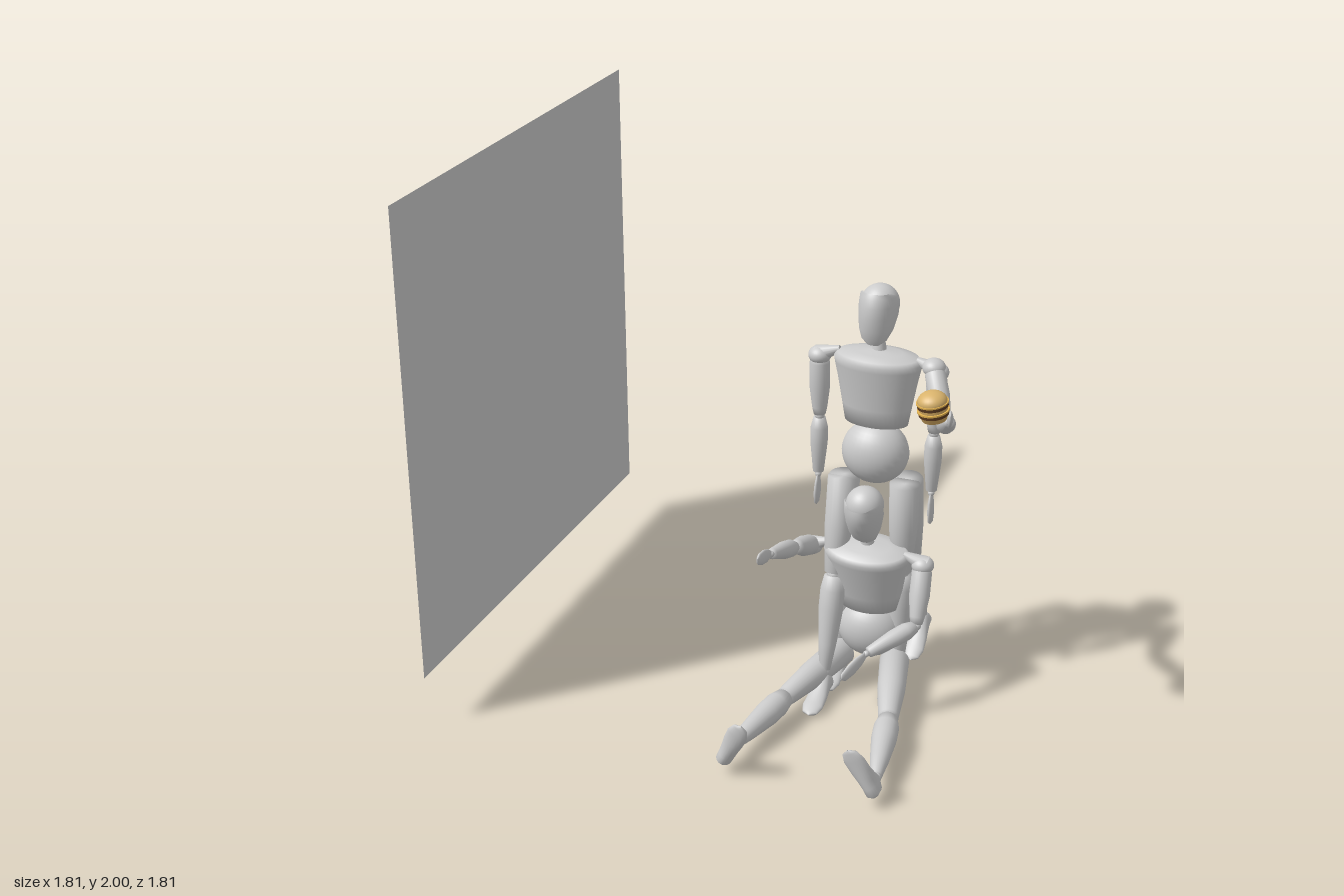
import * as THREE from 'three';

const V = (x, y, z) => new THREE.Vector3(x, y, z);
const grey = new THREE.MeshStandardMaterial({ color: 0xcccccc, side: THREE.DoubleSide });
const CX = 0.5; // both figures sit on this x

function add(parent, name, geometry, material = grey) {
  const mesh = new THREE.Mesh(geometry, material);
  mesh.name = name;
  parent.add(mesh);
  return mesh;
}

function group(parent, name) {
  const g = new THREE.Group();
  g.name = name;
  parent.add(g);
  return g;
}

// Smooth skin over a grid of points fn(row, u), u from 0 to 1
function skin(rows, cols, fn) {
  const pos = [], idx = [];
  for (let r = 0; r < rows; r++) for (let c = 0; c <= cols; c++) pos.push(...fn(r, c / cols));
  for (let r = 0; r < rows - 1; r++) for (let c = 0; c < cols; c++) {
    const a = r * (cols + 1) + c, b = a + cols + 1;
    idx.push(a, a + 1, b, b, a + 1, b + 1);
  }
  const g = new THREE.BufferGeometry();
  g.setAttribute('position', new THREE.Float32BufferAttribute(pos, 3));
  g.setIndex(idx);
  g.computeVertexNormals();
  return g;
}

// Profiles: [position along the limb, radius]
const UPPER_ARM = [[0, 0.001], [0, 0.028], [0.12, 0.037], [0.5, 0.038], [0.85, 0.028], [0.97, 0.022], [0.97, 0.001]];
const FOREARM = [[0.03, 0.001], [0.03, 0.022], [0.2, 0.032], [0.45, 0.032], [0.95, 0.02], [0.96, 0.001]];
const HAND = [[0, 0.001], [0.02, 0.012], [0.3, 0.024], [0.6, 0.027], [0.9, 0.02], [1, 0.001]];
const THIGH = [[0, 0.001], [0, 0.056], [0.5, 0.052], [0.97, 0.037], [0.98, 0.001]];
const SHIN = [[0.01, 0.001], [0.01, 0.036], [0.15, 0.046], [0.35, 0.046], [0.7, 0.034], [0.97, 0.021], [0.98, 0.001]];

// Turned limb segment from a to b; flat squeezes it across the width direction
function segment(parent, name, a, b, profile, width = V(0, 0, 1), flat = 1) {
  const dir = b.clone().sub(a), len = dir.length();
  dir.normalize();
  const side = V(0, 0, 0).crossVectors(dir, width).normalize();
  const wide = V(0, 0, 0).crossVectors(side, dir);
  const g = new THREE.LatheGeometry(profile.map(([t, r]) => new THREE.Vector2(r, t * len)), 24);
  const m = add(parent, name, g);
  m.quaternion.setFromRotationMatrix(new THREE.Matrix4().makeBasis(side, dir, wide));
  m.scale.x = flat;
  m.position.copy(a);
}

function ball(parent, name, p, rx, ry = rx, rz = rx) {
  const m = add(parent, name, new THREE.SphereGeometry(1, 28, 18));
  m.scale.set(rx, ry, rz);
  m.position.copy(p);
  return m;
}

function arm(parent, name, shoulder, elbow, wrist, tip, width) {
  const g = group(parent, name);
  ball(g, 'shoulder', shoulder, 0.042, 0.034, 0.042);
  segment(g, 'upperArm', shoulder, elbow, UPPER_ARM, V(0, 0.3, 1));
  ball(g, 'elbow', elbow, 0.018);
  segment(g, 'forearm', elbow, wrist, FOREARM, V(0, 0.3, 1));
  ball(g, 'wrist', wrist, 0.012);
  segment(g, 'hand', wrist, tip, HAND, width, 0.4);
}

// Foot sections: [z, centre y, half width, half height], ankle at the origin
const FOOT = [[-0.036, -0.055, 0.002, 0.002], [-0.033, -0.055, 0.015, 0.02], [-0.02, -0.051, 0.029, 0.037],
  [0.01, -0.042, 0.031, 0.047], [0.04, -0.052, 0.033, 0.037], [0.08, -0.064, 0.037, 0.025],
  [0.13, -0.073, 0.039, 0.016], [0.165, -0.078, 0.028, 0.011], [0.178, -0.08, 0.002, 0.002]];

function leg(parent, name, hip, knee, ankle, toeDir, footUp) {
  const g = group(parent, name);
  segment(g, 'thigh', hip, knee, THIGH, V(0, 0.2, 1));
  ball(g, 'knee', knee, 0.026);
  segment(g, 'shin', knee, ankle, SHIN, V(0, 0.2, 1));
  ball(g, 'ankle', ankle, 0.02);
  const foot = add(g, 'foot', skin(FOOT.length, 24, (r, u) => {
    const [z, y, w, h] = FOOT[r], t = u * Math.PI * 2;
    return [w * Math.cos(t), y + h * Math.sin(t), z];
  }));
  const f = toeDir.clone().normalize();
  const x = V(0, 0, 0).crossVectors(footUp, f).normalize();
  const up = V(0, 0, 0).crossVectors(f, x);
  foot.quaternion.setFromRotationMatrix(new THREE.Matrix4().makeBasis(x, up, f));
  foot.position.copy(ankle);
}

// Face mask rows: [y, back z, front z, half width], skull centre at the origin
const MASK = [[0.058, 0.055, 0.08, 0.045], [0.04, 0.012, 0.093, 0.066], [0.01, 0.0, 0.102, 0.072],
  [-0.03, 0.008, 0.105, 0.071], [-0.08, 0.035, 0.098, 0.062], [-0.115, 0.06, 0.086, 0.046], [-0.135, 0.07, 0.076, 0.02]];

// Belly, chest, neck and head, with the belly centre as pivot
function upperBody(parent, y, lean, nod) {
  const g = group(parent, 'upperBody');
  g.position.set(CX, y, 0);
  g.rotation.x = lean;
  ball(g, 'belly', V(0, 0, 0), 0.125, 0.12, 0.102);
  const profile = [[0.001, 0.122], [0.118, 0.122], [0.13, 0.19], [0.148, 0.29], [0.16, 0.345],
    [0.163, 0.365], [0.15, 0.382], [0.09, 0.394], [0.001, 0.402]];
  add(g, 'chest', new THREE.LatheGeometry(profile.map(p => new THREE.Vector2(...p)), 40)).scale.z = 0.6;
  add(g, 'neck', new THREE.CylinderGeometry(0.009, 0.028, 0.11, 20)).position.set(0, 0.44, -0.012);
  for (const s of [-1, 1]) {
    const collar = add(g, 'collar', new THREE.CylinderGeometry(0.012, 0.034, 0.09, 16));
    collar.position.set(s * 0.185, 0.365, 0);
    collar.rotation.z = s * 1.2;
  }
  const head = group(g, 'head');
  head.position.set(0, 0.577, -0.005);
  head.rotation.x = nod;
  ball(head, 'skull', V(0, 0, 0), 0.07);
  add(head, 'faceMask', skin(MASK.length, 24, (r, u) => {
    const [my, zb, zf, w] = MASK[r], t = u * Math.PI;
    return [w * Math.cos(t), my, zb + (zf - zb) * Math.sin(t)];
  }));
}

// Small layered burger, listed from the bottom up: [radius low, radius high, height, colour]
function burger(parent) {
  const g = group(parent, 'burger');
  const layers = [[0.042, 0.05, 0.02, 0xd2a860], [0.052, 0.052, 0.012, 0x5a3a20], [0.055, 0.055, 0.006, 0xe0b050],
    [0.049, 0.049, 0.012, 0xd2a860], [0.053, 0.053, 0.012, 0x5a3a20], [0.055, 0.055, 0.005, 0xe0b050]];
  let y = -0.05;
  for (const [r0, r1, h, color] of layers) {
    add(g, 'layer', new THREE.CylinderGeometry(r1, r0, h, 28), new THREE.MeshStandardMaterial({ color })).position.y = y + h / 2;
    y += h;
  }
  const bun = add(g, 'topBun', new THREE.SphereGeometry(0.051, 28, 12, 0, Math.PI * 2, 0, Math.PI / 2),
    new THREE.MeshStandardMaterial({ color: 0xd9b36c }));
  bun.scale.y = 0.68;
  bun.position.y = y;
  g.position.set(0.83, 1.37, 0.43);
  g.rotation.set(0.1, 0, 0.12);
}

export function createModel() {
  const model = new THREE.Group();
  model.name = 'model';

  // Upright square panel
  const panel = add(model, 'panel', new THREE.PlaneGeometry(1.81, 1.81));
  panel.rotation.y = Math.PI / 2;
  panel.position.set(-0.91, 1.095, 0);

  // Standing figure: straight limbs, striding legs and one raised arm
  const stand = group(model, 'standingFigure');
  upperBody(stand, 0.953, 0, 0);
  const fwd = V(0, 0, 1), up = V(0, 1, 0);
  for (const s of [-1, 1]) {
    const ax = CX + s * 0.22, lx = CX + s * 0.115;
    arm(stand, 'hangingArm', V(ax, 1.3, 0), V(ax - s * 0.003, 1.06, 0), V(ax - s * 0.003, 0.825, 0.005), V(ax, 0.7, 0.01), fwd);
    leg(stand, 'straightLeg', V(lx, 0.84, 0), V(lx, 0.47, 0), V(lx, 0.09, 0), fwd, up);
  }
  leg(stand, 'rearLeg', V(0.615, 0.84, -0.04), V(0.615, 0.46, -0.12), V(0.615, 0.14, -0.3), V(0, -0.35, 0.93), up);
  leg(stand, 'frontLeg', V(0.385, 0.84, 0.02), V(0.385, 0.47, 0.1), V(0.385, 0.1, 0.19), V(0, -0.03, 1), up);
  arm(stand, 'raisedArm', V(0.71, 1.32, 0.01), V(0.79, 1.16, 0.13), V(0.863, 1.275, 0.335), V(0.895, 1.345, 0.44), up);
  burger(stand);

  // Seated figure leaning forward
  const sit = group(model, 'seatedFigure');
  upperBody(sit, 0.22, 0.2, 0.3);
  for (const s of [-1, 1]) {
    leg(sit, 'outstretchedLeg', V(CX + s * 0.105, 0.1, 0.02), V(CX + s * 0.2, 0.085, 0.39),
      V(CX + s * 0.268, 0.075, 0.74), V(-s * 0.42, 0.88, 0.08), V(0, 0, -1));
  }
  arm(sit, 'bentArm', V(0.715, 0.56, 0.07), V(0.725, 0.355, 0.16), V(0.59, 0.3, 0.325), V(0.53, 0.235, 0.43), up);
  arm(sit, 'reachingArm', V(0.285, 0.56, 0.07), V(0.285, 0.645, 0.26), V(0.283, 0.735, 0.495), V(0.28, 0.775, 0.62), up);

  return model;
}
